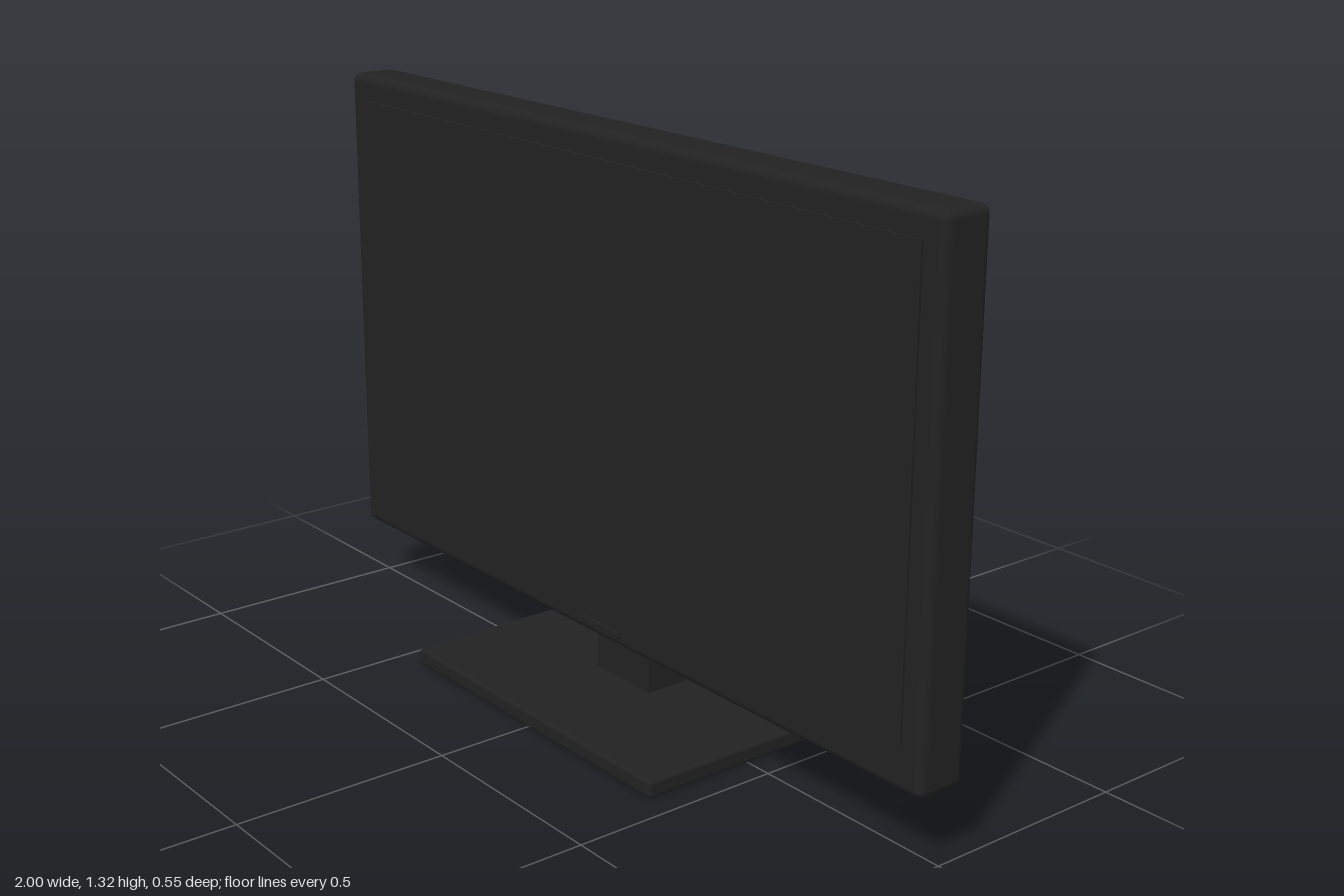
import * as THREE from 'three';
import { RoundedBoxGeometry } from 'three/addons/geometries/RoundedBoxGeometry.js';

export function createModel() {
  const group = new THREE.Group();
  const plastic = new THREE.MeshStandardMaterial({ color: 0x222222 });
  plastic.name = 'black plastic';

  // Box between two corners, with optional rounded edges
  function box(name, [x0, y0, z0], [x1, y1, z1], radius = 0) {
    const size = [x1 - x0, y1 - y0, z1 - z0];
    const geometry = radius
      ? new RoundedBoxGeometry(...size, 4, radius)
      : new THREE.BoxGeometry(...size);
    const mesh = new THREE.Mesh(geometry, plastic);
    mesh.name = name;
    mesh.position.set((x0 + x1) / 2, (y0 + y1) / 2, (z0 + z1) / 2);
    group.add(mesh);
  }

  // Display
  box('cabinet', [-1, 0.155, -0.06], [1, 1.316, 0.06], 0.02);
  box('screen', [-0.945, 0.26, 0.058], [0.945, 1.256, 0.066]);
  box('frontStrip', [-0.065, 0.178, 0.058], [0.065, 0.193, 0.067]);
  box('rearHousing', [-0.573, 0.332, -0.163], [0.573, 1.016, -0.055], 0.035);

  // Stand
  box('neck', [-0.095, 0.03, -0.108], [0.095, 0.192, 0]);
  box('base', [-0.437, 0, -0.273], [0.437, 0.039, 0.273], 0.008);

  return group;
}
